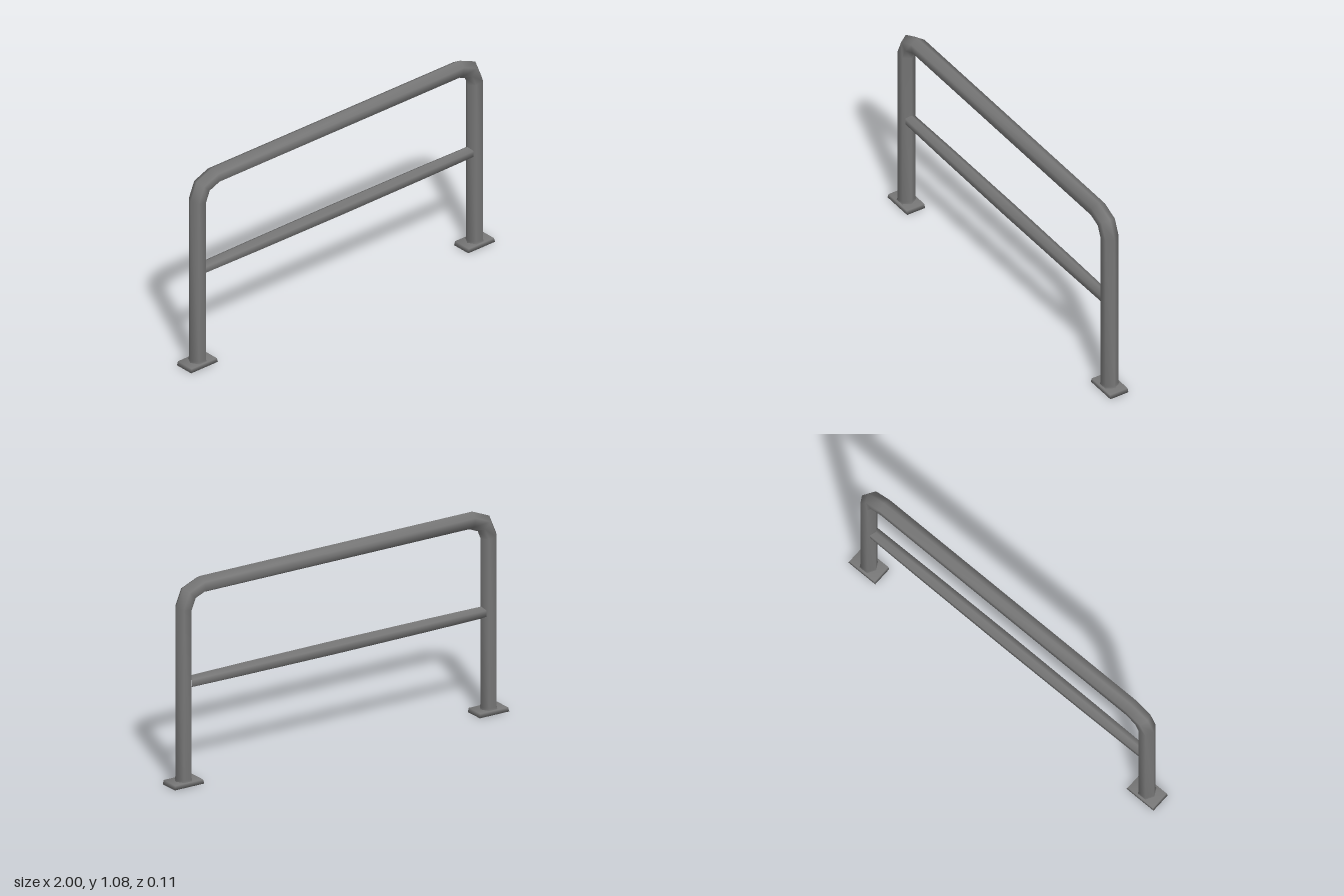
import * as THREE from 'three';
import { mergeVertices } from 'three/addons/utils/BufferGeometryUtils.js';

const SIDES = 6;
const LEG_X = 0.912;

// Sweeps a hexagon along points [x, y, radius] in the xy plane, with mitred bends
function sweepTube(path) {
  const pts = path.map(([x, y]) => new THREE.Vector2(x, y));
  const positions = [], index = [];
  const direction = (i) => pts[i + 1].clone().sub(pts[i]).normalize();
  path.forEach(([x, y, r], i) => {
    const before = direction(Math.max(i - 1, 0));
    const after = direction(Math.min(i, path.length - 2));
    const t = before.clone().add(after).normalize();
    const miter = 1 / t.dot(before);
    for (let j = 0; j < SIDES; j++) {
      const a = (j / SIDES) * Math.PI * 2;
      const c = Math.cos(a) * r * miter;
      positions.push(x - t.y * c, y + t.x * c, Math.sin(a) * r);
      if (i < path.length - 1) {
        const p = i * SIDES + j, q = i * SIDES + ((j + 1) % SIDES);
        index.push(p, q, p + SIDES, q, q + SIDES, p + SIDES);
      }
    }
  });
  const geometry = new THREE.BufferGeometry();
  geometry.setAttribute('position', new THREE.Float32BufferAttribute(positions, 3));
  geometry.setIndex(index);
  geometry.computeVertexNormals();
  return geometry;
}

// Softly shaded foot plate whose top is a little smaller than its base
function plateGeometry() {
  const box = new THREE.BoxGeometry(0.176, 0.022, 0.107);
  box.deleteAttribute('normal');
  box.deleteAttribute('uv');
  const geometry = mergeVertices(box);
  const p = geometry.attributes.position;
  for (let i = 0; i < p.count; i++) {
    if (p.getY(i) > 0) p.setXYZ(i, p.getX(i) * 0.94, p.getY(i), p.getZ(i) * 0.97);
  }
  geometry.computeVertexNormals();
  return geometry.translate(0, 0.011, 0);
}

export function createModel() {
  const group = new THREE.Group();
  const material = new THREE.MeshStandardMaterial({ color: 0x777777 });
  const add = (name, geometry, x = 0) => {
    const mesh = new THREE.Mesh(geometry, material);
    mesh.name = name;
    mesh.position.x = x;
    group.add(mesh);
  };

  // Bent frame: flared foot, leg, two-step corner, then mirrored
  const half = [
    [LEG_X, 0.018, 0.05], [LEG_X, 0.032, 0.045], [LEG_X, 0.93, 0.045],
    [0.882, 1.003, 0.045], [0.805, 1.035, 0.045],
  ];
  const mirrored = half.map(([x, y, r]) => [-x, y, r]).reverse();
  add('bentFrame', sweepTube([...half, ...mirrored]));

  // Middle rail, slightly fuller at its centre
  add('middleRail', sweepTube([
    [0.88, 0.534, 0.032], [0.55, 0.534, 0.035], [0, 0.534, 0.037],
    [-0.55, 0.534, 0.035], [-0.88, 0.534, 0.032],
  ]));

  // Foot plates
  const plate = plateGeometry();
  add('leftFootPlate', plate, LEG_X);
  add('rightFootPlate', plate, -LEG_X);
  return group;
}
